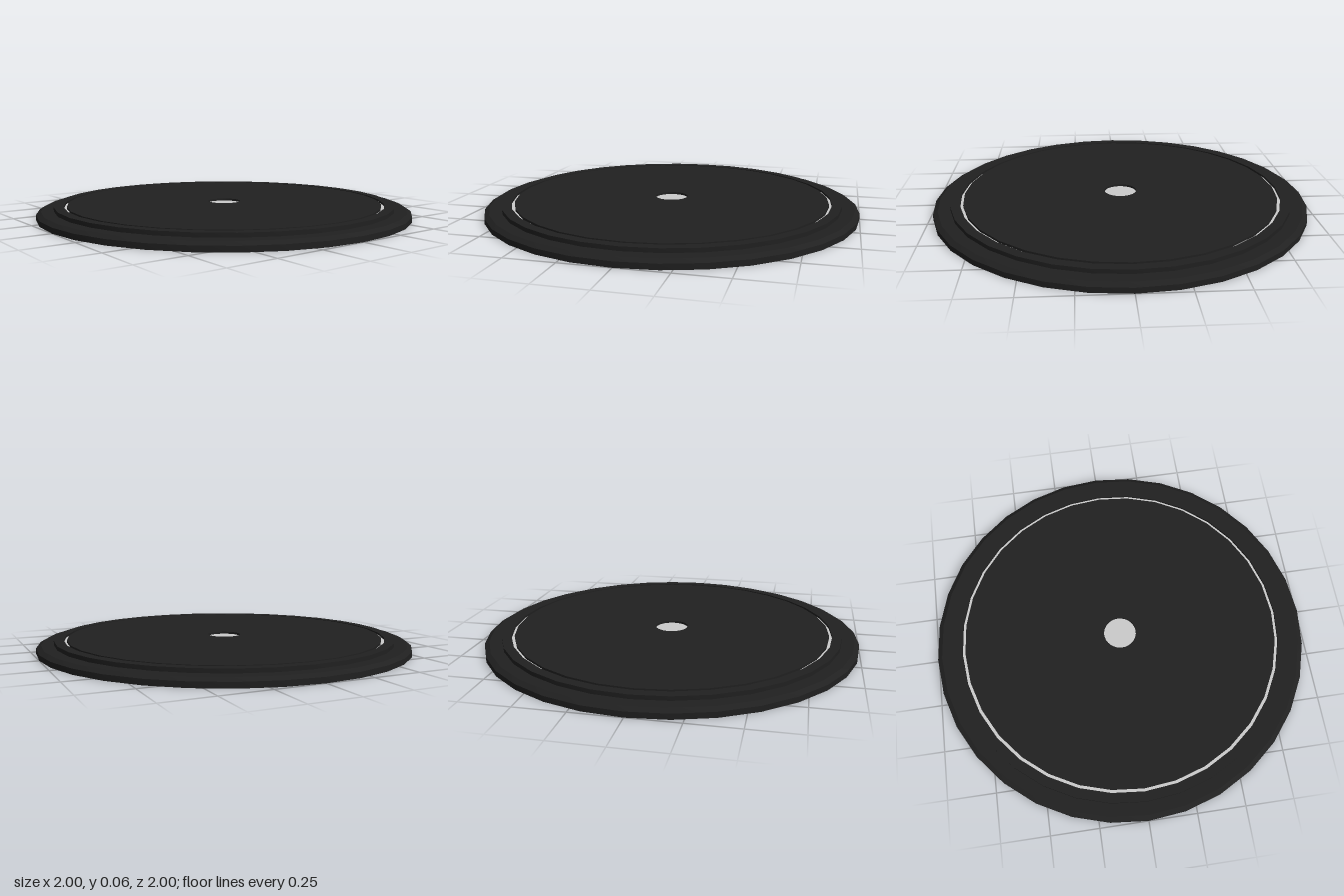
import * as THREE from 'three';
import { toCreasedNormals } from 'three/addons/utils/BufferGeometryUtils.js';

const SIDES = 32;
const STEP = 0.043;   // top of the outer base
const FLOOR = 0.053;  // level of the light inlay
const TOP = 0.064;    // top of the raised plate

const dark = new THREE.MeshStandardMaterial({ color: 0x202020 });
const light = new THREE.MeshStandardMaterial({ color: 0xcccccc });

// Revolves a profile of [radius, height] pairs, keeping its edges sharp
function turned(name, profile, material) {
  const points = profile.map(([r, y]) => new THREE.Vector2(r, y));
  const geometry = toCreasedNormals(new THREE.LatheGeometry(points, SIDES), Math.PI / 7);
  const mesh = new THREE.Mesh(geometry, material);
  mesh.name = name;
  return mesh;
}

export function createModel() {
  const model = new THREE.Group();
  model.name = 'roundPlate';

  model.add(
    // Wide foot with a chamfered rim
    turned('base', [[0, 0], [1, 0], [1, 0.028], [0.975, STEP], [0.91, STEP]], dark),
    // Raised border outside the groove
    turned('border', [[0.91, STEP], [0.91, TOP], [0.86, TOP], [0.86, FLOOR]], dark),
    // Plate inside the groove, with a round hole in the middle
    turned('plate', [[0.844, FLOOR], [0.844, TOP], [0.087, TOP], [0.087, FLOOR]], dark),
    // Light floor seen through the groove
    turned('grooveInlay', [[0.86, FLOOR], [0.844, FLOOR]], light),
    // Light floor seen through the central hole
    turned('centreInlay', [[0.087, FLOOR], [0, FLOOR]], light),
  );
  return model;
}
